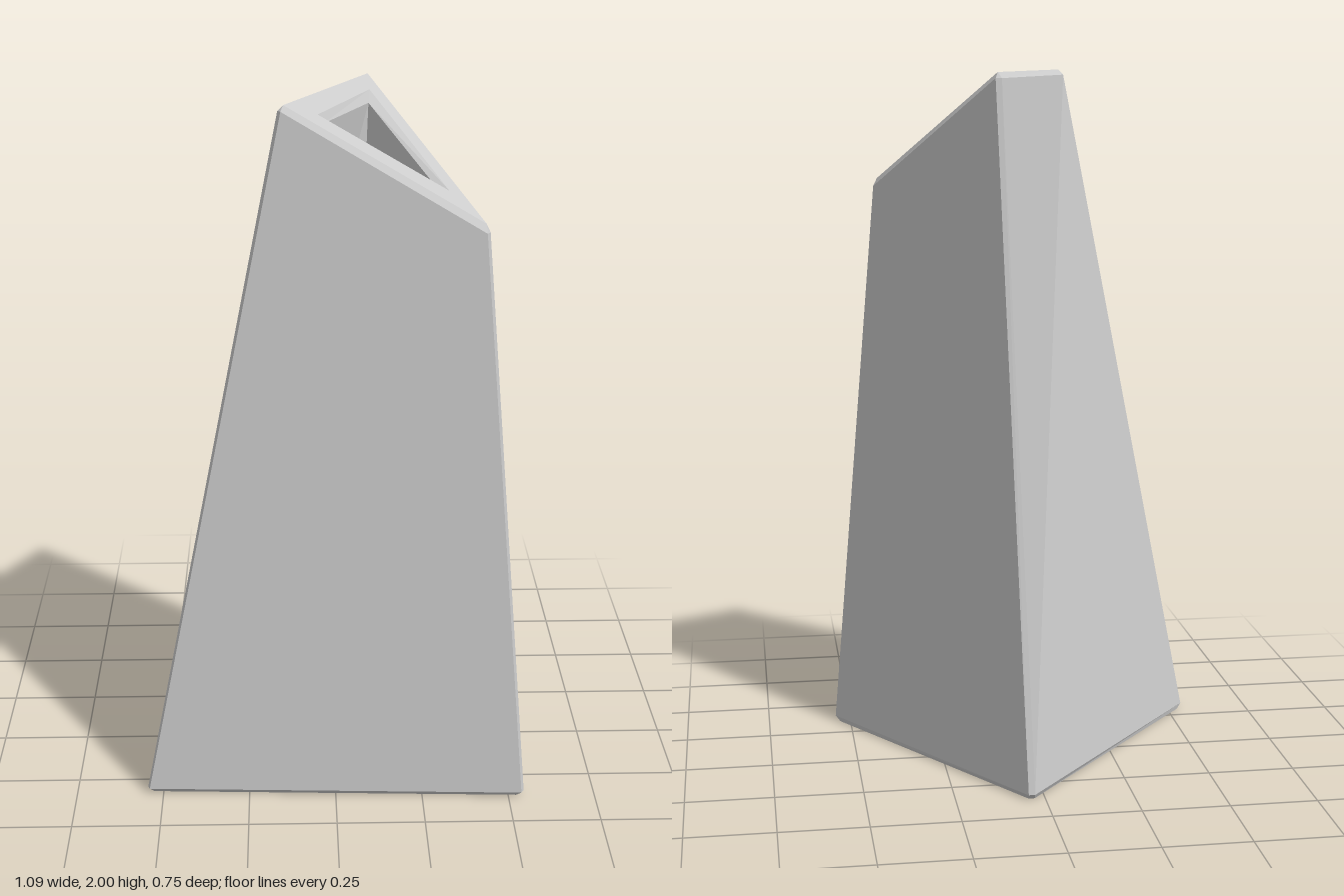
import * as THREE from 'three';

// Slanted rim plane
const rimY = (x, z) => 2 - 0.57 * (x + 0.135) - 0.325 * (z - 0.258);

// Ring of six points: two per corner (left front, right front, back)
const ring = (pts, y) => pts.map(([x, z], i) => [x, Array.isArray(y) ? y[i] : y, z]);
// Sharp three-cornered ring, each corner doubled
const sharp = (pts, yOf) => pts.flatMap(([x, z]) => [[x, yOf(x, z), z], [x, yOf(x, z), z]]);

// Joins consecutive rings with quads, skipping collapsed triangles
function loft(rings, capStart, capEnd) {
  const pos = [];
  const same = (a, b) => a.every((v, i) => Math.abs(v - b[i]) < 1e-6);
  const tri = (a, b, c) => {
    if (!same(a, b) && !same(b, c) && !same(a, c)) pos.push(...a, ...b, ...c);
  };
  for (let r = 0; r < rings.length - 1; r++) {
    const lo = rings[r], up = rings[r + 1], n = lo.length;
    for (let i = 0; i < n; i++) {
      const j = (i + 1) % n;
      tri(lo[i], lo[j], up[j]);
      tri(lo[i], up[j], up[i]);
    }
  }
  const first = rings[0], last = rings[rings.length - 1];
  for (let i = 1; i < first.length - 1; i++) {
    if (capStart) tri(first[0], first[i + 1], first[i]);
    if (capEnd) tri(last[0], last[i], last[i + 1]);
  }
  const geo = new THREE.BufferGeometry();
  geo.setAttribute('position', new THREE.Float32BufferAttribute(pos, 3));
  geo.computeVertexNormals();
  return geo;
}

export function createModel() {
  const group = new THREE.Group();
  group.name = 'taperedVase';
  const material = new THREE.MeshStandardMaterial({ color: 0xcccccc, flatShading: true });
  const add = (name, geo) => {
    const mesh = new THREE.Mesh(geo, material);
    mesh.name = name;
    group.add(mesh);
  };

  // Outer corners, each cut by a narrow chamfer
  const foot = [[-0.545, 0.315], [-0.54, 0.328], [0.537, 0.375], [0.545, 0.361], [0.048, -0.378], [0.03, -0.378]];
  const shoulder = [[-0.15, 0.257], [-0.142, 0.27], [0.4, 0.298], [0.409, 0.284], [0.107, -0.166], [0.09, -0.168]];
  const base = foot.map(([x, z]) => [x * 0.975, z * 0.965]);

  // Opening corners
  const rimOuter = sharp([[-0.135, 0.258], [0.398, 0.283], [0.1, -0.158]], rimY);
  const rimInner = sharp([[-0.045, 0.209], [0.303, 0.222], [0.102, -0.075]], rimY);
  const mouth = sharp([[-0.028, 0.197], [0.275, 0.21], [0.098, -0.038]], (x, z) => rimY(x, z) - 0.02);
  // Cavity widens downward, parallel to the outer walls
  const floor = sharp([[-0.4, 0.247], [0.41, 0.285], [0.04, -0.24]], () => 0.1);

  const outerTop = ring(shoulder, [1.985, 1.985, 1.665, 1.665, 1.985, 1.985]);
  add('outerBody', loft([ring(base, 0), ring(foot, 0.015), outerTop], true, false));
  add('slantedRim', loft([outerTop, rimOuter, rimInner, mouth], false, false));
  add('innerCavity', loft([mouth, floor], false, true));
  return group;
}
